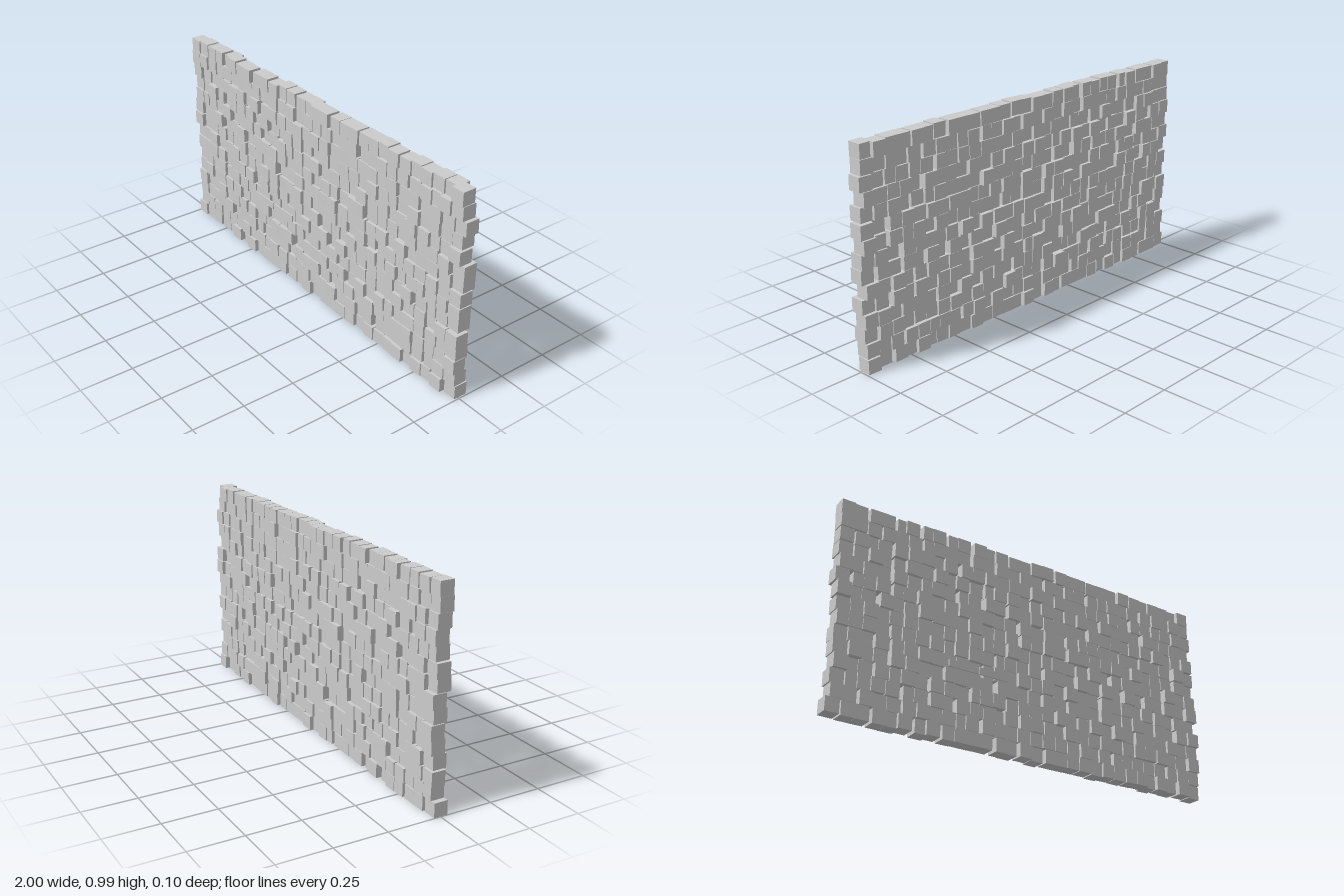
import * as THREE from 'three';

const ROWS = 15, COLS = 30;
const SIZE = 0.065;
const PITCH_X = 0.0657, PITCH_Y = 0.0662;

// Small seeded generator returning values in -1..1
function seeded(seed) {
  let s = seed;
  return () => {
    s = (s * 16807) % 2147483647;
    return (s / 2147483647) * 2 - 1;
  };
}

export function createModel() {
  const group = new THREE.Group();
  group.name = 'blockWall';
  const material = new THREE.MeshStandardMaterial({ color: 0xcccccc, flatShading: true });
  const rand = seeded(4217);

  // Wall of loosely stacked cubes, each nudged and slightly tilted
  const cube = new THREE.BoxGeometry(SIZE, SIZE, SIZE);
  const wall = new THREE.Group();
  wall.name = 'blocks';
  for (let r = 0; r < ROWS; r++) {
    const row = new THREE.Group();
    row.name = `blockRow${r + 1}`;
    for (let c = 0; c < COLS; c++) {
      const block = new THREE.Mesh(cube, material);
      block.name = 'block';
      block.position.set(
        (c - (COLS - 1) / 2) * PITCH_X + rand() * 0.0135,
        SIZE / 2 + 0.001 + r * PITCH_Y + (r ? rand() * 0.002 : 0),
        -0.003 + rand() * 0.011
      );
      // Occasional blocks pushed out at the back
      if (rand() > 0.94) block.position.z = -0.018;
      block.rotation.z = rand() * 0.012;
      block.rotation.y = rand() * 0.02;
      row.add(block);
    }
    wall.add(row);
  }
  group.add(wall);

  // Two thin blank plaques on the front face
  const plaque = new THREE.BoxGeometry(0.15, 0.034, 0.006);
  for (const x of [-0.365, -0.21]) {
    const panel = new THREE.Mesh(plaque, material);
    panel.name = 'plaque';
    panel.position.set(x, 0.352, 0.041);
    group.add(panel);
  }
  return group;
}
